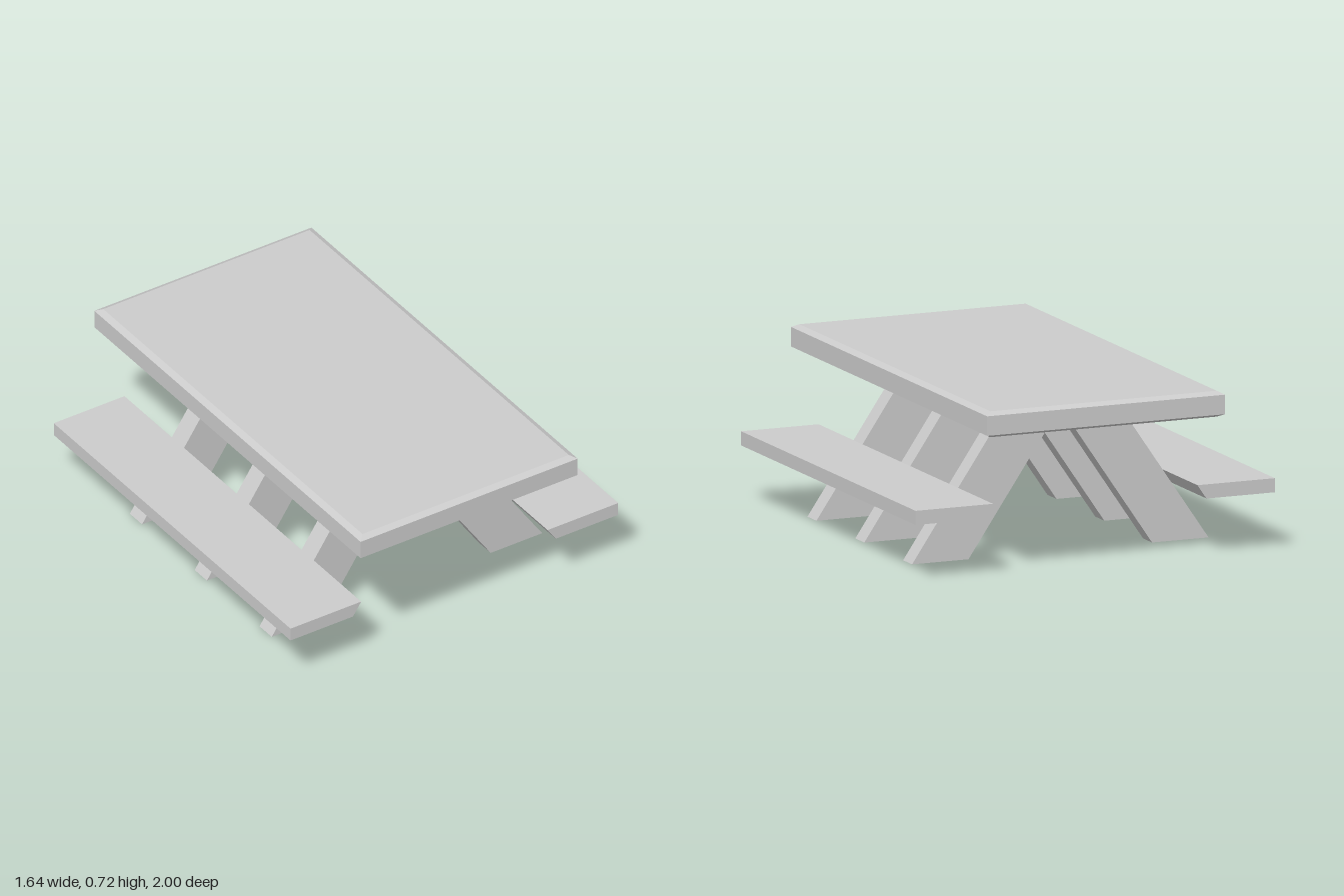
import * as THREE from 'three';

const material = new THREE.MeshStandardMaterial({ color: 0xcccccc, flatShading: true });

// Extrudes a front outline along z, centred on the given z
function plank(name, points, depth, z = 0) {
  const shape = new THREE.Shape(points.map(([x, y]) => new THREE.Vector2(x, y)));
  const geometry = new THREE.ExtrudeGeometry(shape, { depth, bevelEnabled: false });
  geometry.translate(0, 0, z - depth / 2);
  const mesh = new THREE.Mesh(geometry, material);
  mesh.name = name;
  return mesh;
}

// Slab with chamfered top and bottom edges: a box whose end rows are drawn in
function chamferedSlab(width, length, levels, inset) {
  const geometry = new THREE.BoxGeometry(width, 1, length, 1, 3, 1);
  const p = geometry.attributes.position;
  for (let i = 0; i < p.count; i++) {
    const row = Math.round((p.getY(i) + 0.5) * 3);
    if (row === 0 || row === 3) {
      p.setX(i, p.getX(i) - Math.sign(p.getX(i)) * inset);
      p.setZ(i, p.getZ(i) - Math.sign(p.getZ(i)) * inset);
    }
    p.setY(i, levels[row]);
  }
  geometry.computeVertexNormals();
  return geometry;
}

export function createModel() {
  const group = new THREE.Group();
  group.name = 'picnicTable';

  // Table top
  const top = new THREE.Mesh(chamferedSlab(1.084, 2, [0.61, 0.623, 0.706, 0.72], 0.027), material);
  top.name = 'tableTop';
  group.add(top);

  const legTop = 0.612, footOuter = 0.675, footInner = 0.418, kneeOuter = 0.257;
  const legOuterX = (y) => footOuter + (kneeOuter - footOuter) * (y / legTop);
  const seatBottom = 0.247, seatTop = 0.307, seatOuter = 0.818;

  for (const [side, s] of [['left', 1], ['right', -1]]) {
    const mirror = (points) => points.map(([x, y]) => [x * s, y]);

    // Three slanted legs
    const leg = mirror([[footInner, 0], [footOuter, 0], [kneeOuter, legTop], [0, legTop]]);
    for (const z of [-0.487, 0, 0.487]) group.add(plank(side + 'Leg', leg, 0.092, z));

    // Bench seat, its inner edge cut to the slope of the legs
    const seat = mirror([
      [legOuterX(seatBottom), seatBottom], [seatOuter, seatBottom],
      [seatOuter, seatTop], [legOuterX(seatTop), seatTop],
    ]);
    group.add(plank(side + 'Bench', seat, 1.778));
  }
  return group;
}
